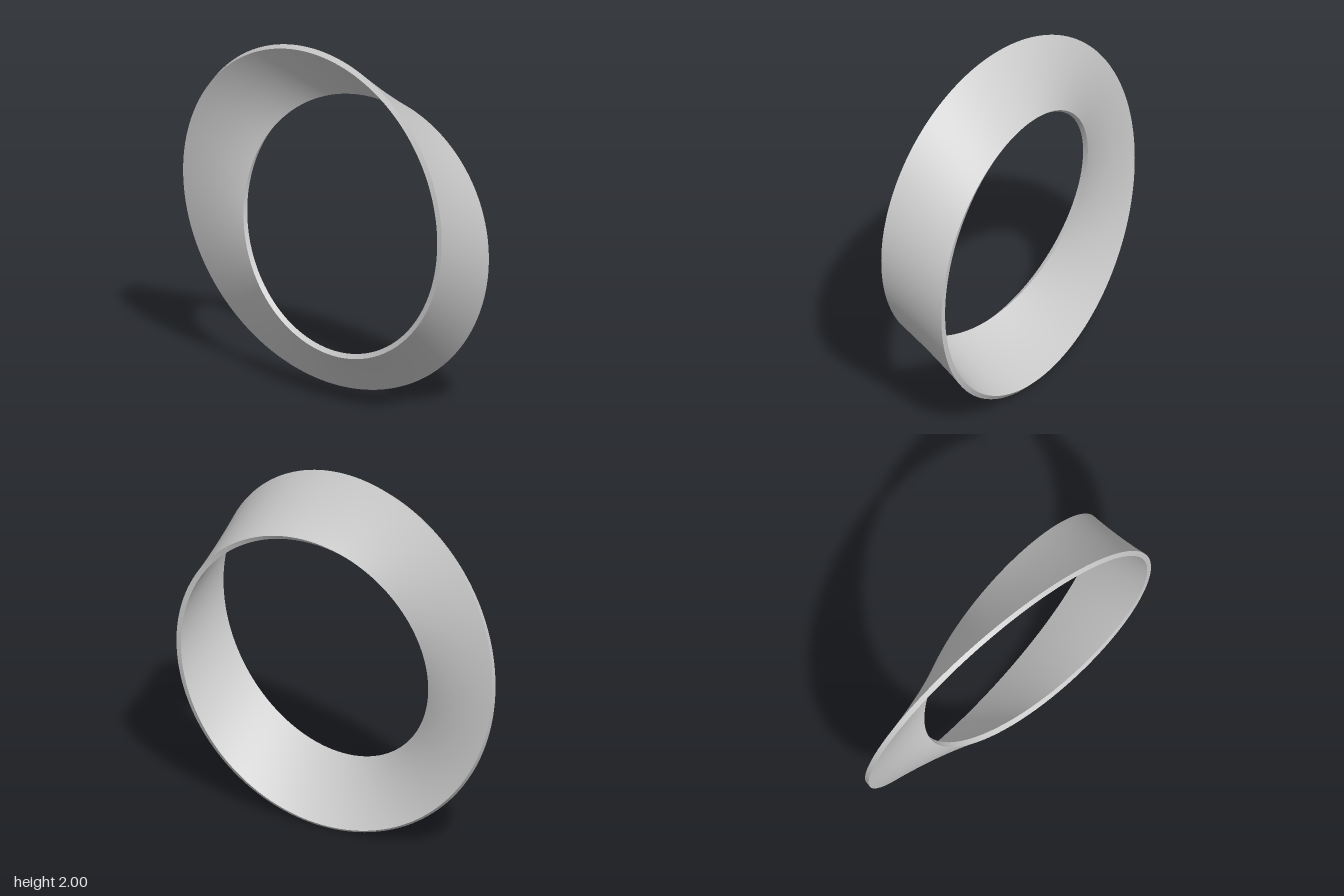
import * as THREE from 'three';

const RADIUS = 0.84;      // centre line of the band
const HALF_WIDTH = 0.208;
const HALF_THICK = 0.015;
const CENTRE = new THREE.Vector3(-RADIUS + 0.9335, 1, 0);
CENTRE.x = 0.0935;

// Point on the band: angle along it, u across its width, v through its thickness.
// The cross-section makes half a turn per lap.
function bandPoint(angle, u, v) {
  const twist = (Math.PI - angle) / 2;
  const r = RADIUS + u * Math.cos(twist) - v * Math.sin(twist);
  const z = u * Math.sin(twist) + v * Math.cos(twist);
  return [CENTRE.x + r * Math.cos(angle), CENTRE.y + r * Math.sin(angle), z];
}

// One side of the cross-section swept for two laps, where it meets itself again.
function sweepSide(from, to, across, along = 480) {
  const positions = [], indices = [];
  const row = across + 1;
  for (let j = 0; j < along; j++) {
    const angle = (j / along) * Math.PI * 4;
    for (let i = 0; i <= across; i++) {
      const k = i / across;
      positions.push(...bandPoint(
        angle,
        THREE.MathUtils.lerp(from[0], to[0], k),
        THREE.MathUtils.lerp(from[1], to[1], k)
      ));
    }
    const next = (j + 1) % along;
    for (let i = 0; i < across; i++) {
      const a = j * row + i, d = next * row + i;
      indices.push(a, a + 1, d + 1, a, d + 1, d);
    }
  }
  const geometry = new THREE.BufferGeometry();
  geometry.setAttribute('position', new THREE.Float32BufferAttribute(positions, 3));
  geometry.setIndex(indices);
  geometry.computeVertexNormals();
  return geometry;
}

export function createModel() {
  const group = new THREE.Group();
  group.name = 'twistedBand';
  const material = new THREE.MeshStandardMaterial({ color: 0xcccccc });

  // Broad one-sided face
  const face = new THREE.Mesh(
    sweepSide([-HALF_WIDTH, HALF_THICK], [HALF_WIDTH, HALF_THICK], 16), material);
  face.name = 'bandFace';

  // Narrow rim, a single continuous edge
  const rim = new THREE.Mesh(
    sweepSide([HALF_WIDTH, HALF_THICK], [HALF_WIDTH, -HALF_THICK], 2), material);
  rim.name = 'bandRim';

  group.add(face, rim);
  return group;
}
